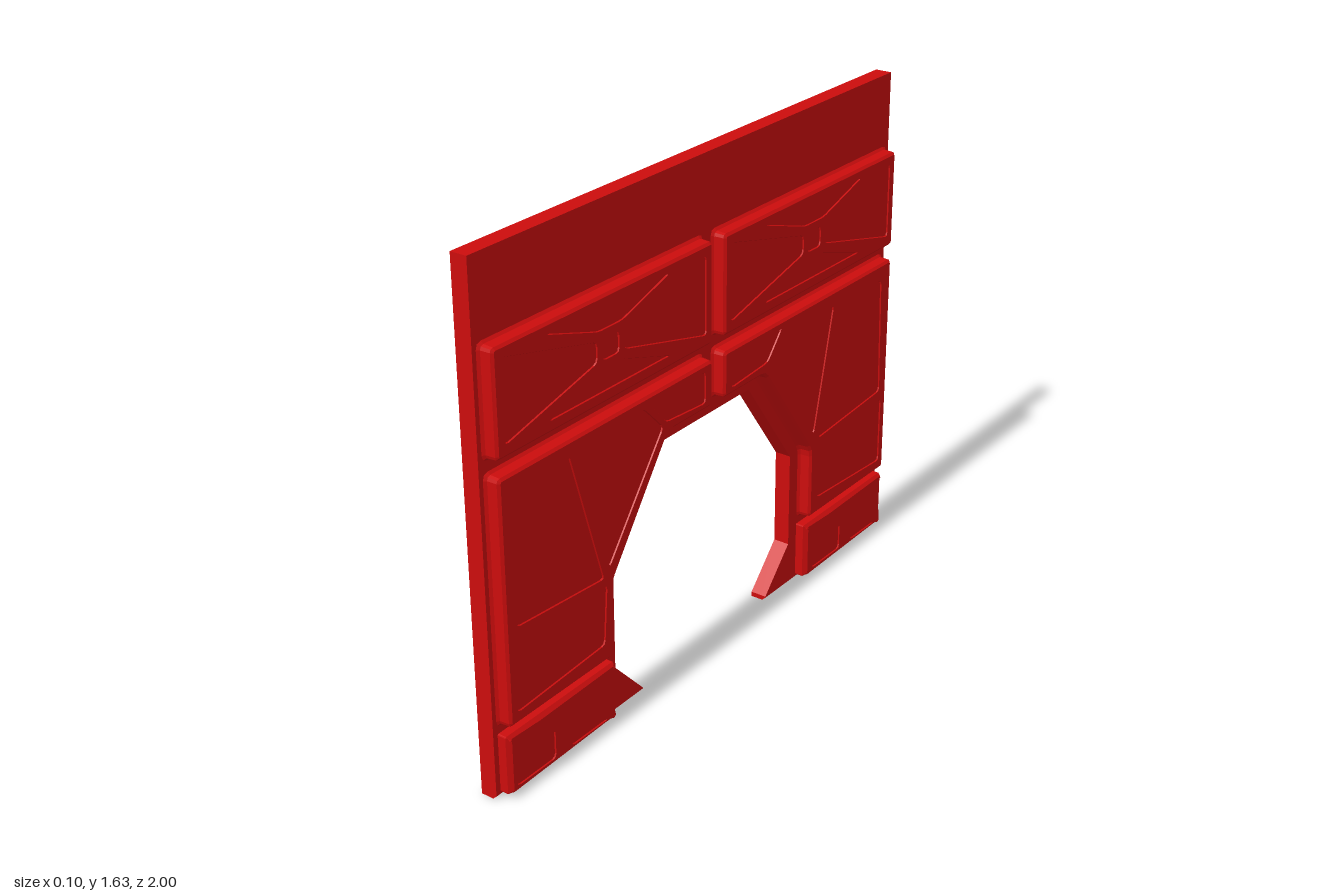
import * as THREE from 'three';
import { mergeGeometries } from 'three/addons/utils/BufferGeometryUtils.js';

const V = (p) => new THREE.Vector2(p[0], p[1]);
const FRONT = 0.005; // front sheet of the wall
const BACK = -0.05;

// Outline from [distance from centre, height], on one side, wound counter-clockwise
function outline(points, side) {
  const ring = points.map(([d, y]) => new THREE.Vector2(d * side, y));
  return THREE.ShapeUtils.area(ring) < 0 ? ring.reverse() : ring;
}

// Round each corner with three points
function soften(ring, r) {
  const out = [];
  ring.forEach((p, i) => {
    const a = ring[(i + ring.length - 1) % ring.length];
    const b = ring[(i + 1) % ring.length];
    const p0 = p.clone().lerp(a, Math.min(0.4, r / p.distanceTo(a)));
    const p1 = p.clone().lerp(b, Math.min(0.4, r / p.distanceTo(b)));
    const mid = p0.clone().add(p1).multiplyScalar(0.25).addScaledVector(p, 0.5);
    out.push(p0, mid, p1);
  });
  return out;
}

// Move every edge of a ring inward by t
function inset(ring, t) {
  return ring.map((p, i) => {
    const d0 = p.clone().sub(ring[(i + ring.length - 1) % ring.length]).normalize();
    const d1 = ring[(i + 1) % ring.length].clone().sub(p).normalize();
    const n = new THREE.Vector2(-d0.y - d1.y, d0.x + d1.x);
    return p.clone().addScaledVector(n, t / (1 + d0.dot(d1)));
  });
}

// Strip of faces joining two rings at two depths
function band(r0, w0, r1, w1) {
  const pos = [];
  r0.forEach((a, i) => {
    const j = (i + 1) % r0.length;
    const b = r0[j], c = r1[j], d = r1[i];
    pos.push(a.x, a.y, w0, b.x, b.y, w0, c.x, c.y, w1, a.x, a.y, w0, c.x, c.y, w1, d.x, d.y, w1);
  });
  const g = new THREE.BufferGeometry();
  g.setAttribute('position', new THREE.Float32BufferAttribute(pos, 3));
  return g;
}

// Flat face with holes at one depth
function sheet(ring, w, holes = []) {
  const shape = new THREE.Shape(ring);
  shape.holes = holes.map((h) => new THREE.Path(h));
  const g = new THREE.ShapeGeometry(shape).toNonIndexed();
  g.deleteAttribute('uv');
  g.deleteAttribute('normal');
  return g.translate(0, 0, w);
}

const UPPER = [[0.02, 1.055], [0.985, 1.055], [0.985, 1.392], [0.02, 1.392]];
const LOWER = [[0.02, 1.022], [0.985, 1.022], [0.985, 0.235], [0.505, 0.235],
  [0.505, 0.488], [0.24, 0.855], [0.02, 0.855]];
const PLINTH = [[0.505, 0.02], [0.982, 0.02], [0.982, 0.212], [0.505, 0.212]];

// Upper panel recesses: a centre square and four wedges around it
const flipY = (ps) => ps.map(([d, y]) => [d, 2.45 - y]);
const flipD = (ps) => ps.map(([d, y]) => [1.004 - d, y]);
const topWedge = [[0.77, 1.35], [0.234, 1.35], [0.45, 1.282], [0.554, 1.282]];
const sideWedge = [[0.943, 1.35], [0.56, 1.256], [0.56, 1.194], [0.943, 1.1]];
const upperCuts = [
  [[0.465, 1.192], [0.539, 1.192], [0.539, 1.258], [0.465, 1.258]],
  topWedge, flipY(topWedge), sideWedge, flipD(sideWedge),
];
const lowerCuts = [
  [[0.918, 0.955], [0.692, 0.973], [0.555, 0.52], [0.932, 0.548]],
  [[0.63, 0.962], [0.36, 0.98], [0.27, 0.888], [0.53, 0.545]],
  [[0.335, 0.988], [0.065, 0.988], [0.065, 0.884], [0.258, 0.898]],
  [[0.945, 0.513], [0.542, 0.495], [0.558, 0.302], [0.945, 0.28]],
];
const plinthCuts = [0.545, 0.785].map((d) =>
  [[d, 0.037], [d + 0.17, 0.037], [d + 0.17, 0.187], [d, 0.187]]);

// [depth, inset] steps from the wall to the panel face
const panelSteps = [[FRONT, 0], [0.012, 0.008], [0.043, 0.01], [0.05, 0.018]];
const plinthSteps = [[FRONT, 0], [0.012, 0], [0.033, 0], [0.045, 0.014]];

const PARTS = [
  { name: 'UpperPanel', points: UPPER, cuts: upperCuts, steps: panelSteps, round: 0.02 },
  { name: 'LowerPanel', points: LOWER, cuts: lowerCuts, steps: panelSteps, round: 0.02 },
  { name: 'Plinth', points: PLINTH, cuts: plinthCuts, steps: plinthSteps, round: 0.004 },
];

function panelRing(part, side) {
  return soften(outline(part.points, side), part.round);
}

// Raised panel with shallow recesses in its face
function panelGeometry(part, side) {
  const base = panelRing(part, side);
  const rings = part.steps.map(([, t]) => inset(base, t));
  const face = part.steps[3][0];
  const cuts = part.cuts.map((c) => soften(outline(c, side), 0.015));
  const geos = [sheet(rings[3], face, cuts), sheet(rings[1], part.steps[1][0])];
  for (let i = 0; i < 3; i++) {
    geos.push(band(rings[i], part.steps[i][0], rings[i + 1], part.steps[i + 1][0]));
  }
  for (const c of cuts) {
    const floor = inset(c, 0.002);
    geos.push(band(c, face, floor, face - 0.004), sheet(floor, face - 0.004));
  }
  return mergeGeometries(geos);
}

// Wall outline with the arched opening; the foot can be raised for the bevel
function wallRing(foot) {
  const half = [[1, 1.63], [1, foot], [0.33, foot], [0.33, 0.016], [0.46, 0.155],
    [0.46, 0.48], [0.22, 0.81]];
  const other = half.map(([d, y]) => [-d, y]).reverse();
  return outline([...half, ...other], 1);
}

// Wall shell, open at the back
function wallGeometry() {
  const front = wallRing(0.012), full = wallRing(0);
  const holes = [];
  for (const side of [1, -1]) for (const part of PARTS) holes.push(panelRing(part, side));
  return mergeGeometries([
    sheet(front, FRONT, holes),
    band(full, -0.008, front, FRONT),
    band(full, BACK, full, -0.008),
  ]);
}

export function createModel() {
  const model = new THREE.Group();
  model.name = 'archedWallPanel';
  const red = new THREE.MeshStandardMaterial({ color: 0xcc0d0d, flatShading: true, side: THREE.DoubleSide });
  const add = (name, geometry) => {
    geometry.rotateY(Math.PI / 2); // depth runs along +x
    geometry.computeVertexNormals();
    const mesh = new THREE.Mesh(geometry, red);
    mesh.name = name;
    model.add(mesh);
  };
  add('wallShell', wallGeometry());
  for (const side of [1, -1]) {
    for (const part of PARTS) add((side > 0 ? 'rear' : 'front') + part.name, panelGeometry(part, side));
  }
  return model;
}
